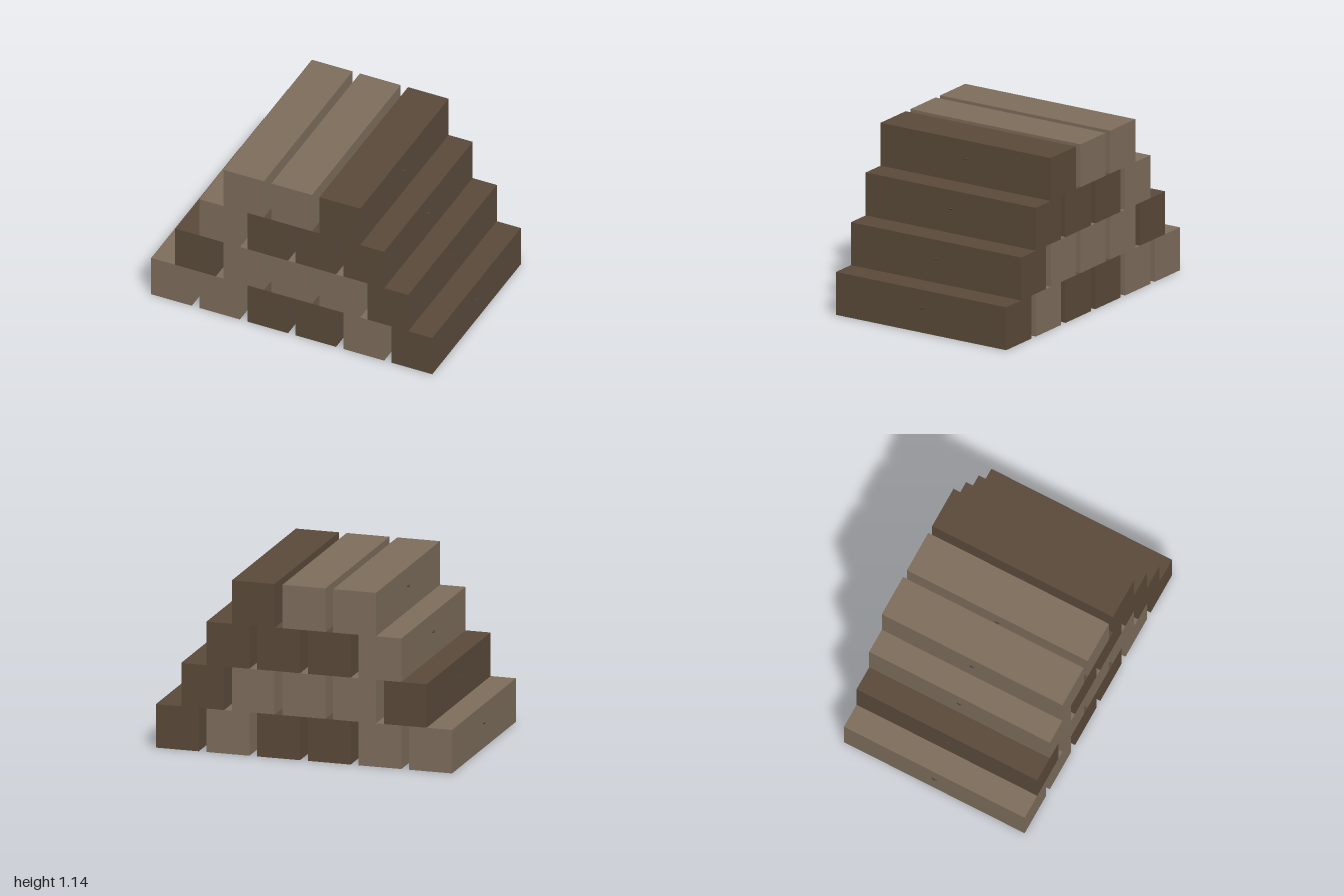
import * as THREE from 'three';

const SIZE = 0.286;    // square beam section
const PITCH = 0.338;   // beam spacing within a row
const LENGTH = 1.3;

export function createModel() {
  const model = new THREE.Group();
  model.name = 'timberStack';

  const material = (name, color) => {
    const m = new THREE.MeshStandardMaterial({ color });
    m.name = name;
    return m;
  };
  const lightWood = material('lightWood', 0x7d6d5c);
  const darkWood = material('darkWood', 0x5a4a3a);
  const iron = material('iron', 0x4a4641);
  iron.flatShading = true;

  const beamGeometry = new THREE.BoxGeometry(SIZE, SIZE, LENGTH);
  // Small horizontal ring, half sunk into each side of a beam
  const ringGeometry = new THREE.TorusGeometry(0.019, 0.006, 4, 8).rotateX(Math.PI / 2);

  // Rows from the bottom up: L = light, D = dark
  ['LLDDLD', 'DLLLD', 'LDDD', 'LLD'].forEach((row, level) => {
    [...row].forEach((tone, i) => {
      const log = new THREE.Group();
      log.name = `log_${level + 1}_${i + 1}`;
      log.position.set((i - (row.length - 1) / 2) * PITCH, (level + 0.5) * SIZE, 0);

      const beam = new THREE.Mesh(beamGeometry, tone === 'L' ? lightWood : darkWood);
      beam.name = 'beam';
      log.add(beam);

      for (const side of [-1, 1]) {
        const ring = new THREE.Mesh(ringGeometry, iron);
        ring.name = side > 0 ? 'leftRing' : 'rightRing';
        ring.position.set(side * (SIZE / 2 - 0.013), 0.02, 0);
        log.add(ring);
      }
      model.add(log);
    });
  });

  return model;
}
